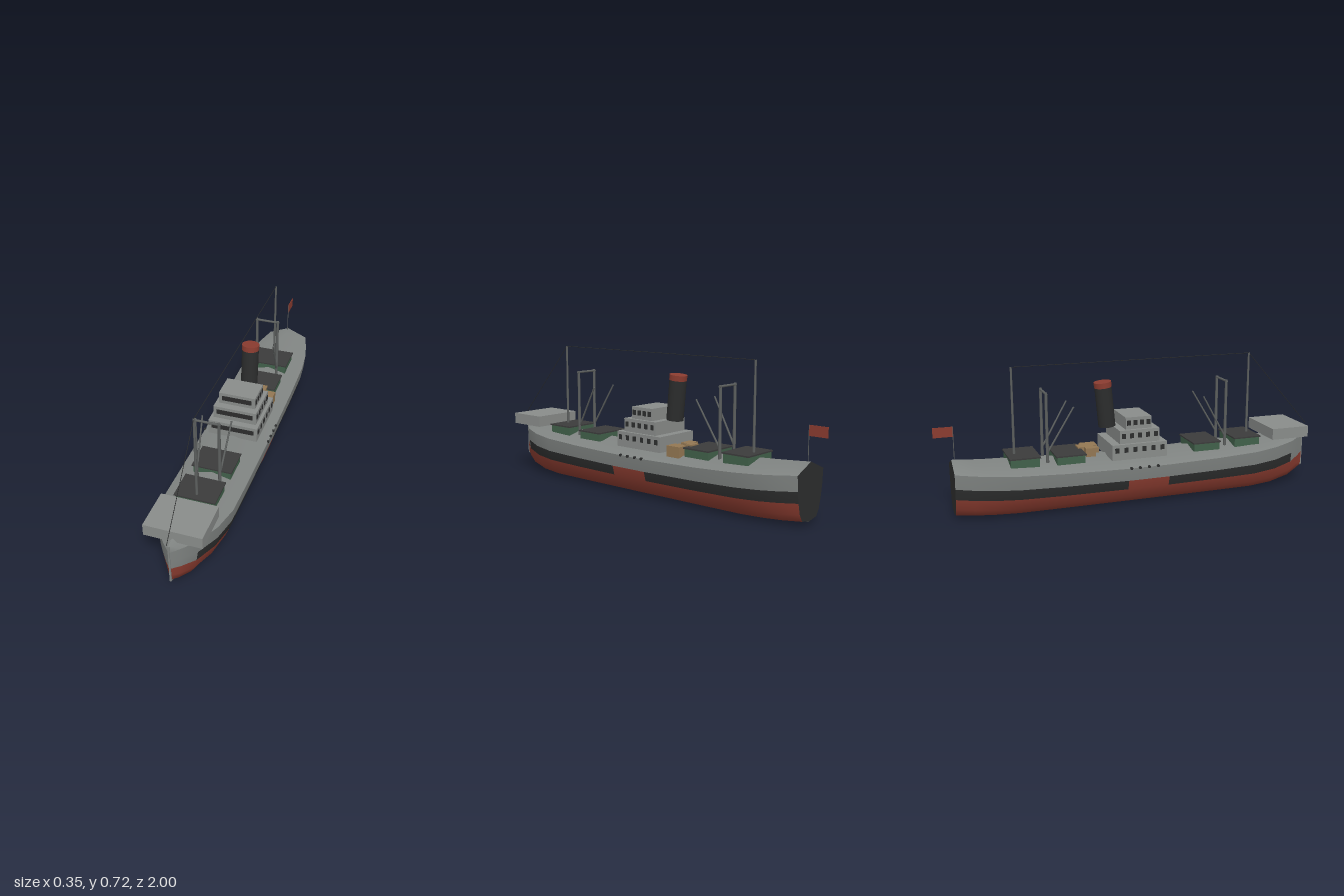
import * as THREE from 'three';

const mat = (name, color, side = THREE.FrontSide) =>
  Object.assign(new THREE.MeshStandardMaterial({ color, side }), { name });

export function createModel() {
  const grey = mat('hull grey', 0x808482);
  const house = mat('deckhouse grey', 0x898c8a);
  const black = mat('band black', 0x2c2d2d);
  const red = mat('antifouling red', 0x8b3c30, THREE.DoubleSide);
  const green = mat('hatch green', 0x41604a);
  const lidGrey = mat('hatch cover', 0x3b3b3b);
  const wood = mat('crate wood', 0x937753);
  const steel = mat('mast steel', 0x5c5f5e);

  const ship = new THREE.Group();
  ship.name = 'cargoShip';
  const add = (name, geo, material, x = 0, y = 0, z = 0) => {
    const m = new THREE.Mesh(geo, material);
    m.name = name;
    m.position.set(x, y, z);
    ship.add(m);
    return m;
  };
  // box given by its centre in x and z, and by its bottom and top
  const box = (name, material, w, d, y0, y1, x, z) =>
    add(name, new THREE.BoxGeometry(w, y1 - y0, d), material, x, (y0 + y1) / 2, z);
  // round bar between two points
  const bar = (name, material, a, b, r0, r1 = r0, sides = 10) => {
    const A = new THREE.Vector3(...a), B = new THREE.Vector3(...b);
    const m = add(name, new THREE.CylinderGeometry(r1, r0, A.distanceTo(B), sides), material);
    m.position.copy(A).lerp(B, 0.5);
    m.quaternion.setFromUnitVectors(new THREE.Vector3(0, 1, 0), B.sub(A).normalize());
    return m;
  };

  // ---- hull stations: z, half width, keel height
  const stations = [
    [-0.92, 0.108, 0.017], [-0.83, 0.136, 0.01], [-0.74, 0.156, 0.006], [-0.62, 0.168, 0.003],
    [-0.4, 0.17, 0.003], [-0.08, 0.17, 0.003], [0.135, 0.17, 0.003], [0.4, 0.17, 0.003],
    [0.62, 0.168, 0.003], [0.75, 0.142, 0.009], [0.87, 0.092, 0.028], [0.94, 0.038, 0.052],
    [0.98, 0.003, 0.075],
  ];
  const edgeY = z => 0.205 + 0.04 * (z / 0.95) ** 2;
  const half = [[1, 1], [0.955, 0.68], [0.875, 0.44], [0.75, 0.2], [0.56, 0.05]];
  const section = [...half, [0, 0], ...half.map(([x, y]) => [-x, y]).reverse()];
  const shell = stations.map(([z, w, b]) =>
    section.map(([x, y]) => [x * w, b + (edgeY(z) - b) * y, z]));
  const deck = stations.map(([z, w]) =>
    [[-w, edgeY(z), z], [0, edgeY(z) + 0.045, z], [w, edgeY(z), z]]);

  // skin over rows of points; pick(row, column) chooses the material
  const loft = (name, rows, materials, pick) => {
    const n = rows[0].length, lists = materials.map(() => []);
    for (let j = 0; j < rows.length - 1; j++)
      for (let i = 0; i < n - 1; i++) {
        const a = j * n + i, d = a + n;
        lists[pick(j, i)].push(a, d, a + 1, d, d + 1, a + 1);
      }
    const geo = new THREE.BufferGeometry();
    geo.setAttribute('position', new THREE.Float32BufferAttribute(rows.flat(2), 3));
    geo.setIndex(lists.flat());
    let start = 0;
    lists.forEach((l, k) => { geo.addGroup(start, l.length, k); start += l.length; });
    geo.computeVertexNormals();
    add(name, geo, materials);
  };
  loft('hullShell', shell, [grey, black, red], (j, i) => {
    const row = Math.min(i, section.length - 2 - i);
    if (row === 0) return 0;
    if (row > 1) return 2;
    const z = (stations[j][0] + stations[j + 1][0]) / 2;
    return z > 0.87 ? 0 : z > -0.08 && z < 0.135 ? 2 : 1;
  });
  loft('mainDeck', deck, [grey], () => 0);

  // flat stern
  const ring = [...shell[0], deck[0][1]];
  const fan = [];
  for (let i = 1; i < ring.length - 1; i++) fan.push(0, i, i + 1);
  const transom = new THREE.BufferGeometry();
  transom.setAttribute('position', new THREE.Float32BufferAttribute(ring.flat(), 3));
  transom.setIndex(fan);
  transom.computeVertexNormals();
  add('transom', transom, black);

  // stem and keel bars
  box('stem', grey, 0.008, 0.008, 0.075, 0.285, 0, 0.979);
  box('keel', steel, 0.008, 1.3, 0, 0.006, 0, 0);
  bar('keelBow', steel, [0, 0.004, 0.64], [0, 0.03, 0.87], 0.004);
  bar('stemFoot', steel, [0, 0.03, 0.87], [0, 0.075, 0.98], 0.004);
  bar('keelStern', steel, [0, 0.004, -0.64], [0, 0.017, -0.915], 0.004);

  // portholes
  for (const s of [-1, 1])
    for (const z of [0.07, 0.023, -0.025, -0.07])
      add('porthole', new THREE.CylinderGeometry(0.007, 0.007, 0.009, 12).rotateZ(Math.PI / 2),
        black, s * 0.17, 0.206, z);

  box('forecastle', house, 0.275, 0.21, 0.27, 0.328, 0, 0.829);

  // bridge tiers: half width, back z, front z, bottom, top, window count
  for (const [w, z0, z1, y0, y1, n] of [
    [0.128, -0.155, 0.132, 0.24, 0.318, 6],
    [0.112, -0.112, 0.098, 0.318, 0.385, 5],
    [0.095, -0.075, 0.06, 0.385, 0.446, 4],
  ]) {
    const d = z1 - z0, mid = (z0 + z1) / 2, top = y1 - 0.016;
    box('bridgeTier', house, 2 * w, d, y0, y1, 0, mid);
    box('frontWindow', black, 2 * w - 0.036, 0.006, top - 0.025, top, 0, z1);
    for (const s of [-1, 1])
      for (let i = 0; i < n; i++)
        box('sideWindow', black, 0.006, 0.02, top - 0.025, top, s * w, z0 + d * (i + 0.5) / n);
  }

  // raked funnel
  const f0 = [0, 0.388, -0.143], f1 = [0, 0.588, -0.162], f2 = [0, 0.615, -0.165];
  bar('funnel', black, f0, f1, 0.043, 0.043, 28);
  bar('funnelTop', red, f1, f2, 0.044, 0.044, 28);

  // cargo hatches
  for (const [z, top] of [[0.597, 0.289], [0.368, 0.281], [-0.354, 0.281], [-0.582, 0.289]]) {
    box('hatchCoaming', green, 0.188, 0.142, 0.235, top - 0.007, 0, z);
    box('hatchCover', lidGrey, 0.2, 0.152, top - 0.007, top, 0, z);
  }

  // deck crates
  box('crate', wood, 0.07, 0.05, 0.235, 0.288, 0.0, -0.238);
  box('crate', wood, 0.065, 0.08, 0.225, 0.28, 0.078, -0.222);
  box('crate', wood, 0.055, 0.045, 0.235, 0.288, 0.03, -0.272);
  box('crate', wood, 0.04, 0.035, 0.235, 0.275, 0.035, -0.2);

  // masts and aerial wires
  const foreTop = [0, 0.715, 0.638], aftTop = [0, 0.715, -0.618];
  bar('foreMast', steel, [0, 0.25, 0.638], foreTop, 0.007, 0.005);
  bar('aftMast', steel, [0, 0.25, -0.618], aftTop, 0.007, 0.005);
  bar('foreWire', black, [0, 0.307, 0.999], foreTop, 0.0016, 0.0016, 5);
  bar('mainWire', black, foreTop, aftTop, 0.0016, 0.0016, 5);

  // twin derrick posts with booms leaning towards the bridge
  for (const [z, dir] of [[0.485, -1], [-0.465, 1]]) {
    bar('derrickCrossbar', steel, [-0.065, 0.586, z], [0.065, 0.586, z], 0.006);
    for (const s of [-1, 1]) {
      bar('derrickPost', steel, [s * 0.057, 0.23, z], [s * 0.057, 0.593, z], 0.008, 0.007);
      bar('derrickBoom', steel, [s * 0.057, 0.3, z + dir * 0.005],
        [s * 0.072, 0.516, z + dir * 0.132], 0.005, 0.004);
    }
  }

  // stern flag
  bar('flagPole', steel, [0, 0.28, -0.905], [0, 0.45, -0.905], 0.002, 0.002, 6);
  box('flag', red, 0.003, 0.095, 0.4, 0.449, 0, -0.952);

  return ship;
}
